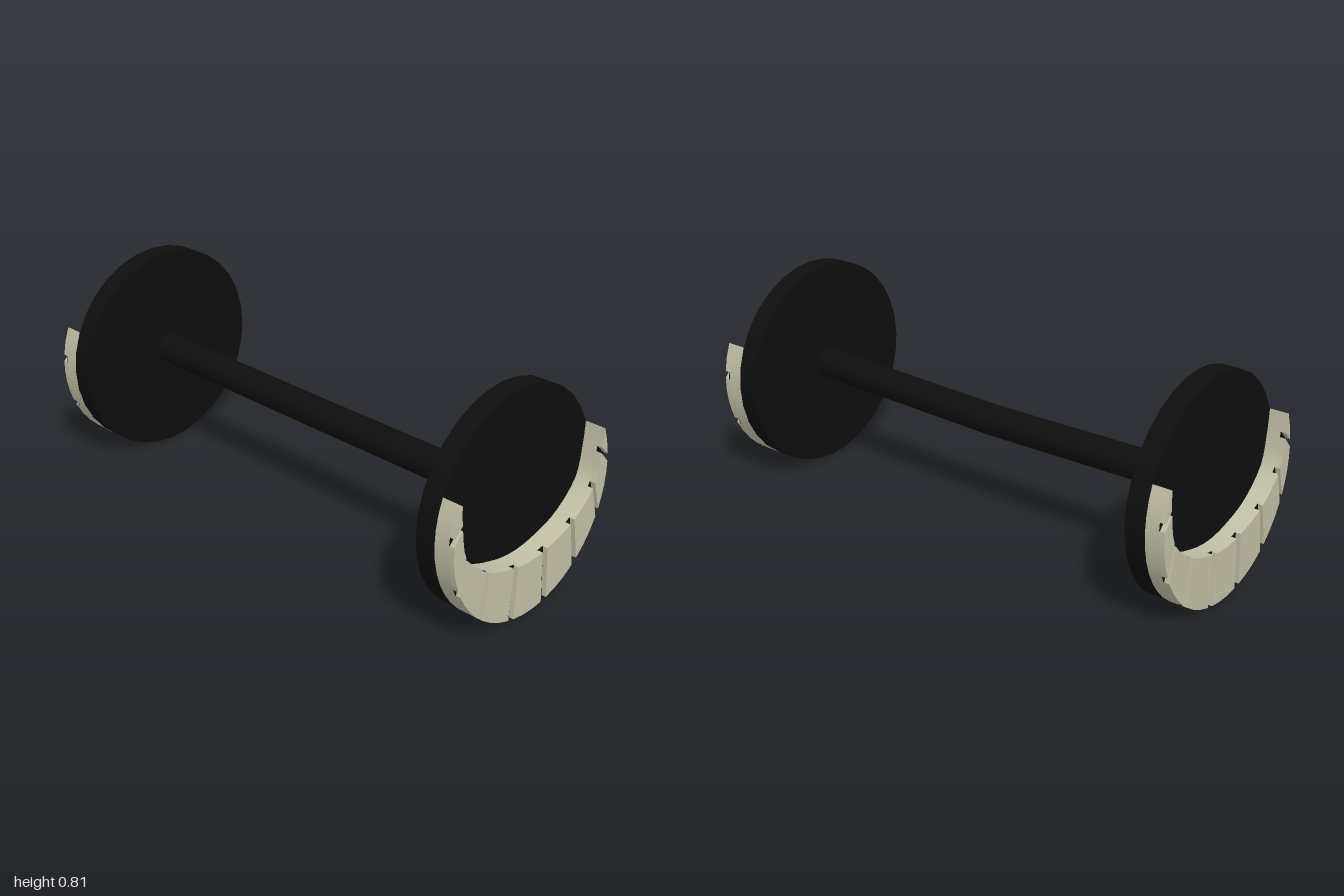
import * as THREE from 'three';
import { toCreasedNormals } from 'three/addons/utils/BufferGeometryUtils.js';

const RADIUS = 0.405;
const TIP = 112.8; // crescent half-sweep in degrees, measured from the bottom
const GROOVES = [12.7, 38.9, 65.5, 95];
const HALF_GROOVE = 2;

// Inner edge of the crescent: sweep angle, z, y (relative to the disc centre)
const INNER = [
  [0, 0, -0.203], [12.7, 0.082, -0.195], [38.9, 0.227, -0.148],
  [65.5, 0.338, -0.05], [95, 0.367, 0.072], [TIP, 0.374, 0.157],
];
const innerCurve = new THREE.SplineCurve(
  [...INNER.slice(1).reverse().map(([, z, y]) => [-z, y]), ...INNER.map(([, z, y]) => [z, y])]
    .map(([z, y]) => new THREE.Vector2(z, y)));

function innerPoint(deg) {
  const a = Math.min(Math.abs(deg), TIP);
  let i = 0;
  while (i < INNER.length - 2 && a > INNER[i + 1][0]) i++;
  const step = i + (a - INNER[i][0]) / (INNER[i + 1][0] - INNER[i][0]);
  const n = INNER.length - 1;
  return innerCurve.getPoint((n + Math.sign(deg) * step) / (2 * n));
}

function outerPoint(deg) {
  const a = THREE.MathUtils.degToRad(deg);
  return new THREE.Vector2(Math.sin(a) * RADIUS, -Math.cos(a) * RADIUS);
}

// Slice of the crescent between two angles, extruded along the local z axis
function crescentSlice(from, to, start, depth) {
  const n = Math.max(1, Math.ceil((to - from) / 8));
  const angles = Array.from({ length: n + 1 }, (_, i) => from + ((to - from) * i) / n);
  const shape = new THREE.Shape([...angles.map(outerPoint), ...angles.reverse().map(innerPoint)]);
  const geo = new THREE.ExtrudeGeometry(shape, { depth, bevelEnabled: false });
  geo.translate(0, 0, start);
  return toCreasedNormals(geo, 0.6);
}

export function createModel() {
  const model = new THREE.Group();
  const black = new THREE.MeshStandardMaterial({ color: 0x0e0e0e });
  black.name = 'black';
  const bone = new THREE.MeshStandardMaterial({ color: 0xc2bfa6 });
  bone.name = 'bone';

  const add = (parent, name, geo, mat) => {
    const mesh = new THREE.Mesh(geo, mat);
    mesh.name = name;
    parent.add(mesh);
  };

  // Slightly bent axle
  const path = new THREE.CatmullRomCurve3([
    new THREE.Vector3(-0.88, 0.407, -0.008),
    new THREE.Vector3(0, 0.398, -0.016),
    new THREE.Vector3(0.88, 0.41, 0),
  ]);
  add(model, 'axle', new THREE.TubeGeometry(path, 2, 0.058, 20), black);

  // Discs with a grooved crescent on each outer face; local z points outward
  function endDisc(name, side, inner, face, y, z) {
    const g = new THREE.Group();
    g.name = name;
    const disc = new THREE.CylinderGeometry(RADIUS, RADIUS, face - inner, 32);
    disc.rotateX(Math.PI / 2).translate(0, 0, (face + inner) / 2);
    add(g, 'disc', toCreasedNormals(disc, 0.6), black);

    const floor = 0.978;
    add(g, 'crescentBase', crescentSlice(-TIP, TIP, face, floor - face), bone);

    const cuts = [...GROOVES.map((a) => -a).reverse(), ...GROOVES];
    for (const c of cuts) {
      add(g, 'grooveFloor', crescentSlice(c - HALF_GROOVE, c + HALF_GROOVE, floor, 0.003), black);
    }
    for (let i = 0; i <= cuts.length; i++) {
      const from = i === 0 ? -TIP : cuts[i - 1] + HALF_GROOVE;
      const to = i === cuts.length ? TIP : cuts[i] - HALF_GROOVE;
      add(g, 'toothBlock', crescentSlice(from, to, floor, 1 - floor), bone);
    }
    g.rotation.y = (side * Math.PI) / 2;
    g.position.set(0, y, z);
    model.add(g);
  }
  endDisc('leftEnd', 1, 0.842, 0.92, 0.41, 0.002);
  endDisc('rightEnd', -1, 0.85, 0.927, 0.405, -0.006);

  return model;
}
